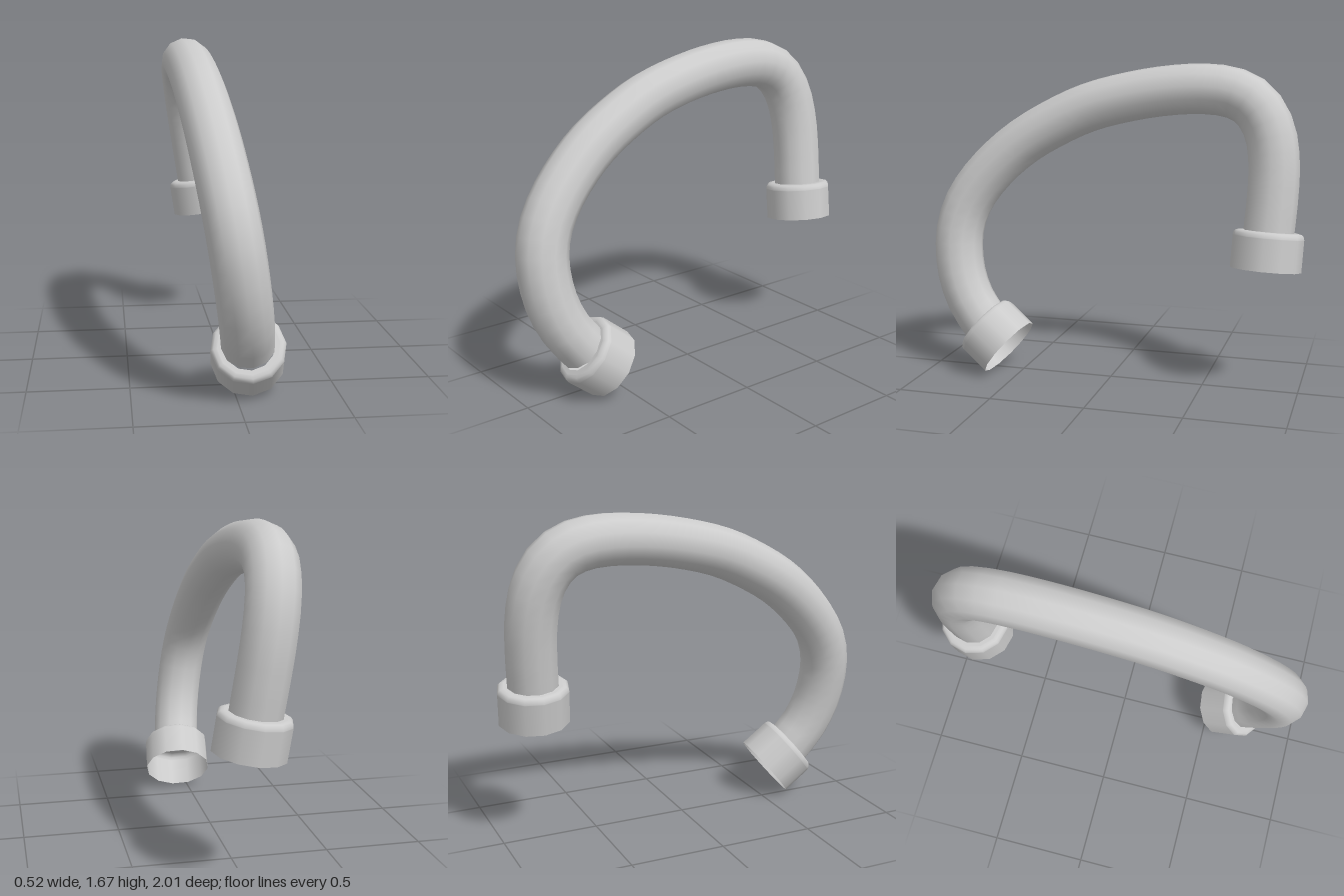
import * as THREE from 'three';

// The pipe lies in one leaning plane: x follows height
const inPlane = (z, y) => new THREE.Vector3(0.095 - 0.153 * y, y, z);

export function createModel() {
  const group = new THREE.Group();
  const material = new THREE.MeshStandardMaterial({ color: 0xcccccc, side: THREE.DoubleSide });

  // Bent hollow pipe, from the back end over the top to the front end
  const path = new THREE.CatmullRomCurve3([
    [-0.824, 0.83], [-0.835, 1.0], [-0.836, 1.17], [-0.815, 1.31], [-0.772, 1.41], [-0.705, 1.485],
    [-0.61, 1.53], [-0.47, 1.547], [-0.28, 1.537], [-0.06, 1.5], [0.16, 1.44],
    [0.355, 1.35], [0.52, 1.25], [0.655, 1.135], [0.765, 1.01], [0.833, 0.895],
    [0.867, 0.775], [0.87, 0.655], [0.845, 0.515], [0.787, 0.382], [0.695, 0.262],
  ].map(([z, y]) => inPlane(z, y)));
  const pipe = new THREE.Mesh(new THREE.TubeGeometry(path, 40, 0.13, 12), material);
  pipe.name = 'bentPipe';
  group.add(pipe);

  // Open collar: cylindrical wall, rounded shoulder and inner lip around the pipe.
  // Doubled rings keep the wall and the lip crisp beside the shoulder.
  const profile = [
    [0.182, 0], [0.182, 0.165], [0.182, 0.168], [0.178, 0.183],
    [0.167, 0.193], [0.152, 0.196], [0.149, 0.196], [0.125, 0.196],
  ].map(([r, y]) => new THREE.Vector2(r, y));
  const collarGeometry = new THREE.LatheGeometry(profile, 12);

  function addCollar(name, mouth, shoulder) {
    const collar = new THREE.Mesh(collarGeometry, material);
    collar.name = name;
    collar.position.copy(mouth);
    const axis = shoulder.clone().sub(mouth).normalize();
    collar.quaternion.setFromUnitVectors(new THREE.Vector3(0, 1, 0), axis);
    group.add(collar);
  }
  addCollar('backCollar', inPlane(-0.816, 0.645), inPlane(-0.825, 0.85));
  addCollar('frontCollar', inPlane(0.557, 0.143), inPlane(0.711, 0.268));

  return group;
}
